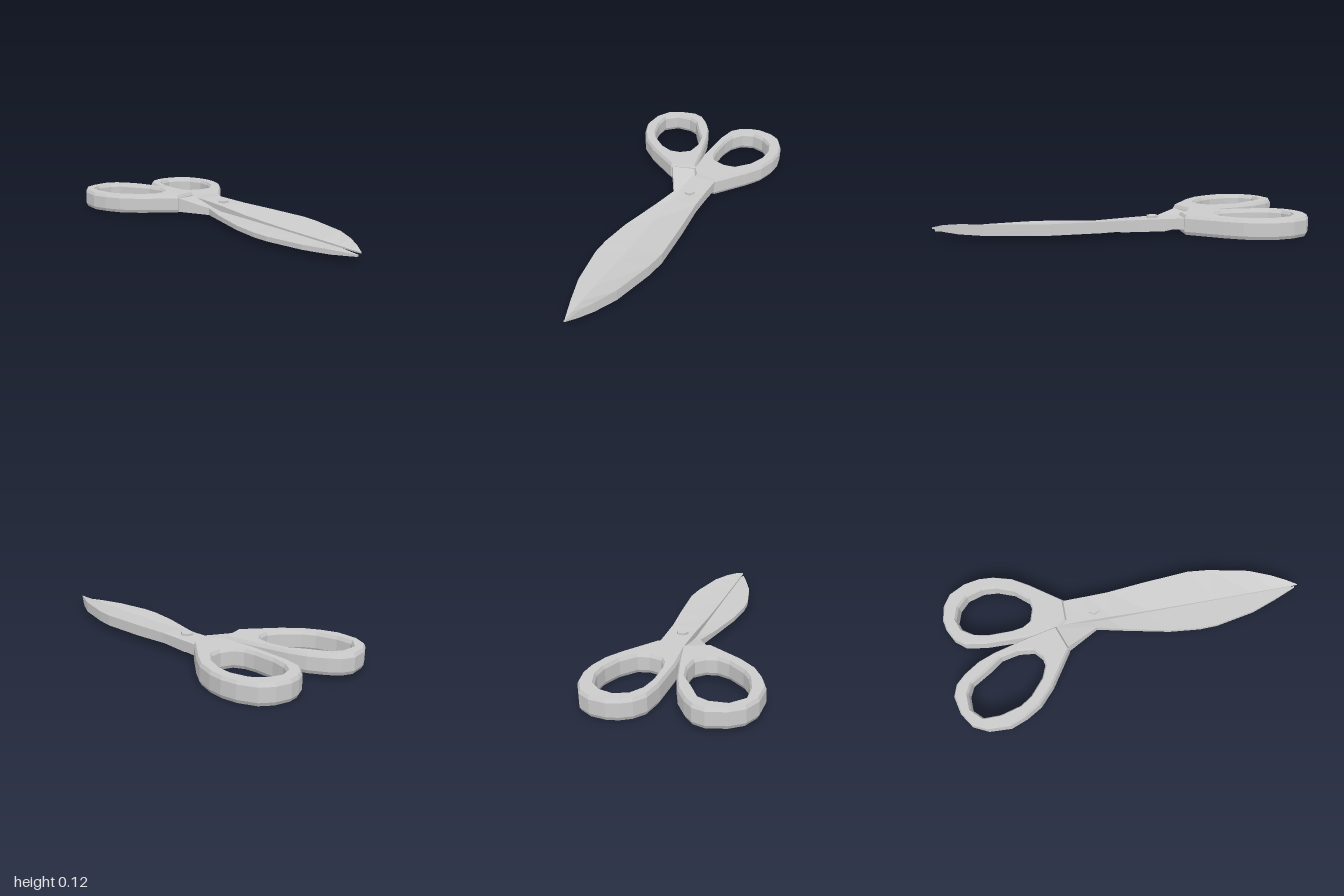
import * as THREE from 'three';

const material = new THREE.MeshStandardMaterial({ color: 0xcccccc, flatShading: true });

// Chamfered finger loop: [x, z] outline and hole, extruded upwards from y0 to y1.
// The hole runs the opposite way round to the outline, so that its wall faces inwards.
function handle(name, outline, hole, y0, y1) {
  const toPoints = (list) => list.map(([x, z]) => new THREE.Vector2(x, -z));
  const shape = new THREE.Shape(toPoints(outline));
  shape.holes.push(new THREE.Path(toPoints(hole).reverse()));
  const t = 0.018, s = 0.009;
  const geometry = new THREE.ExtrudeGeometry(shape, {
    depth: y1 - y0 - 2 * t, bevelEnabled: true, bevelThickness: t,
    bevelSize: s, bevelOffset: -s, bevelSegments: 1,
  });
  geometry.rotateX(-Math.PI / 2).translate(0, y0 + t, 0);
  const mesh = new THREE.Mesh(geometry, material);
  mesh.name = name;
  return mesh;
}

// Blade lofted through four-cornered sections:
// [outer x, outer z, inner x, inner z, outer top, outer bottom, inner top, inner bottom]
function blade(name, sections, flip) {
  const positions = [], index = [];
  for (const [xo, zo, xi, zi, to, bo, ti, bi] of sections) {
    const loop = [[xo, to, zo], [xi, ti, zi], [xi, bi, zi], [xo, bo, zo]];
    if (flip) loop.reverse();
    positions.push(...loop.flat());
  }
  const last = (sections.length - 1) * 4;
  for (let i = 0; i < last; i += 4) {
    for (let j = 0; j < 4; j++) {
      const a = i + j, b = i + (j + 1) % 4;
      index.push(a, b, b + 4, a, b + 4, a + 4);
    }
  }
  index.push(2, 1, 0, 3, 2, 0, last, last + 1, last + 2, last, last + 2, last + 3);
  const geometry = new THREE.BufferGeometry();
  geometry.setAttribute('position', new THREE.Float32BufferAttribute(positions, 3));
  geometry.setIndex(index);
  geometry.computeVertexNormals();
  const mesh = new THREE.Mesh(geometry, material);
  mesh.name = name;
  return mesh;
}

export function createModel() {
  const group = new THREE.Group();
  group.name = 'scissors';

  // Finger loops
  group.add(handle('leftHandle',
    [[0.095, -0.325], [0.055, -0.385], [0.04, -0.56], [0.045, -0.79], [0.065, -0.9], [0.11, -0.957],
      [0.165, -0.987], [0.225, -1], [0.31, -0.987], [0.375, -0.947], [0.422, -0.86],
      [0.438, -0.775], [0.433, -0.695], [0.403, -0.59], [0.348, -0.5], [0.22, -0.325]],
    [[0.093, -0.63], [0.093, -0.755], [0.11, -0.84], [0.15, -0.9], [0.215, -0.925], [0.285, -0.905],
      [0.34, -0.855], [0.368, -0.765], [0.362, -0.685], [0.325, -0.59], [0.26, -0.515],
      [0.2, -0.505], [0.13, -0.525], [0.103, -0.57]],
    0, 0.107));
  group.add(handle('rightHandle',
    [[-0.072, -0.337], [-0.262, -0.457], [-0.352, -0.537], [-0.403, -0.62], [-0.438, -0.71],
      [-0.432, -0.83], [-0.392, -0.912], [-0.325, -0.957], [-0.225, -0.982], [-0.16, -0.962],
      [-0.11, -0.912], [-0.055, -0.83], [-0.02, -0.74], [0.03, -0.55], [0.065, -0.387]],
    [[-0.37, -0.75], [-0.37, -0.84], [-0.31, -0.9], [-0.225, -0.905], [-0.17, -0.88], [-0.11, -0.785],
      [-0.055, -0.71], [-0.035, -0.615], [-0.045, -0.53], [-0.09, -0.49], [-0.145, -0.48],
      [-0.21, -0.505], [-0.3, -0.58], [-0.34, -0.64]],
    0.018, 0.122));

  // Upper blade, wedge-shaped with its thick back on the left
  group.add(blade('upperBlade', [
    [0.216, -0.35, 0.075, -0.35, 0.09, 0.03, 0.09, 0.045],
    [0.218, -0.2, 0.075, -0.2, 0.09, 0.035, 0.088, 0.048],
    [0.221, -0.07, 0.075, -0.07, 0.09, 0.035, 0.082, 0.05],
    [0.241, 0.135, 0.075, 0.135, 0.09, 0.03, 0.07, 0.052],
    [0.26, 0.4, 0.075, 0.4, 0.09, 0.03, 0.064, 0.053],
    [0.248, 0.515, 0.075, 0.515, 0.09, 0.03, 0.063, 0.053],
    [0.2, 0.74, 0.075, 0.74, 0.09, 0.03, 0.062, 0.053],
    [0.15, 0.86, 0.075, 0.86, 0.086, 0.032, 0.061, 0.053],
    [0.11, 0.94, 0.075, 0.94, 0.077, 0.04, 0.06, 0.053],
    [0.08, 1, 0.076, 1, 0.06, 0.054, 0.06, 0.054],
  ], false));

  // Lower blade, passing under the upper one at the pivot
  group.add(blade('lowerBlade', [
    [-0.068, -0.35, 0.06, -0.4, 0.105, 0.022, 0.1, 0.022],
    [0.035, -0.167, 0.2, -0.22, 0.062, 0.022, 0.045, 0.02],
    [0, -0.02, 0.19, -0.02, 0.052, 0.024, 0.04, 0.02],
    [-0.055, 0.23, 0.16, 0.23, 0.05, 0.025, 0.042, 0.025],
    [-0.073, 0.4, 0.14, 0.4, 0.05, 0.025, 0.044, 0.028],
    [-0.071, 0.5, 0.13, 0.5, 0.05, 0.025, 0.045, 0.029],
    [-0.03, 0.72, 0.108, 0.72, 0.05, 0.025, 0.047, 0.03],
    [0.02, 0.86, 0.09, 0.86, 0.05, 0.026, 0.048, 0.032],
    [0.069, 0.985, 0.075, 0.985, 0.046, 0.036, 0.046, 0.038],
  ], true));

  // Hexagonal pivot screw through both blades
  const screw = new THREE.Mesh(new THREE.CylinderGeometry(0.033, 0.033, 0.085, 6), material);
  screw.name = 'pivotScrew';
  screw.rotation.y = Math.PI / 2;
  screw.position.set(0.135, 0.0575, -0.165);
  group.add(screw);

  return group;
}
